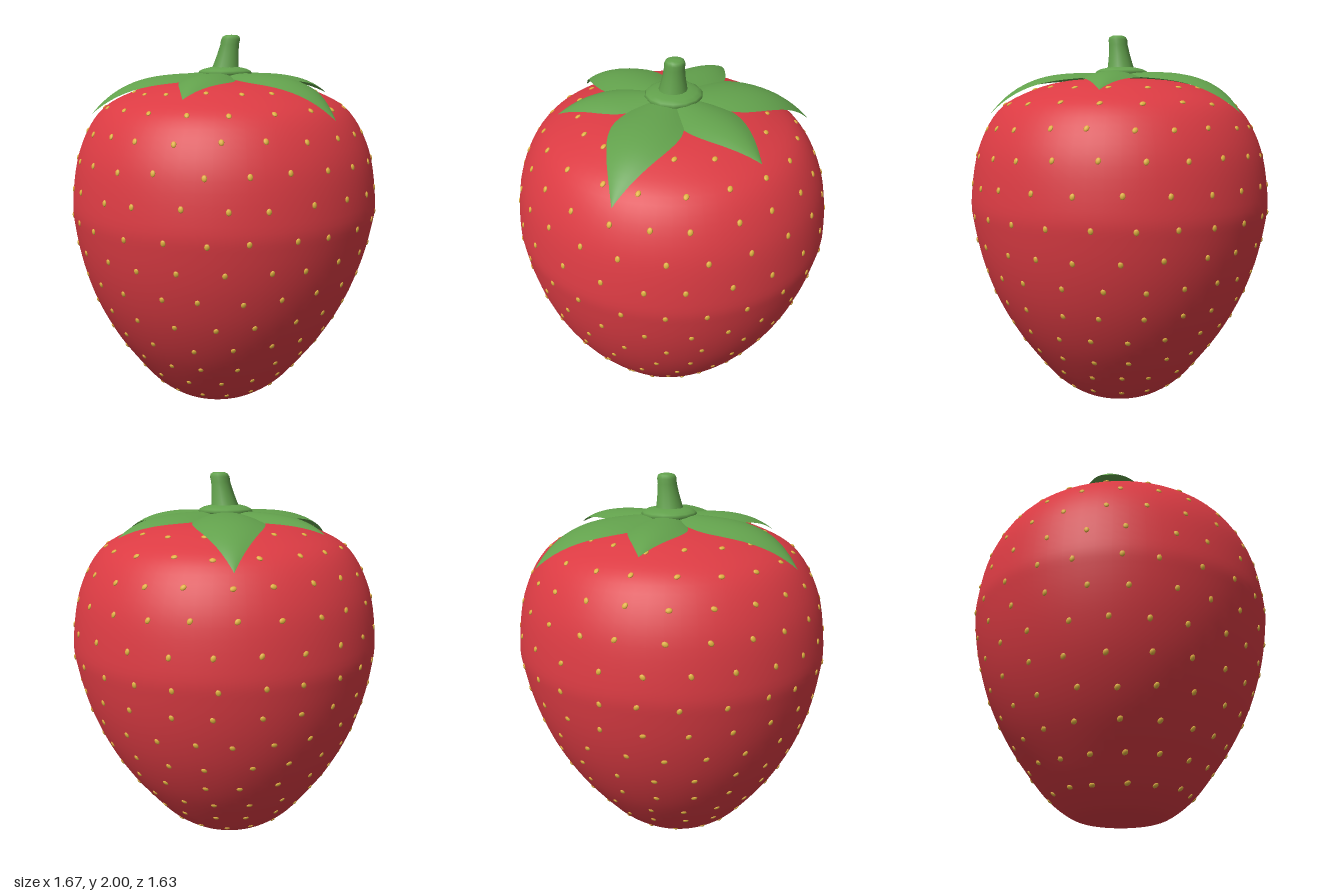
import * as THREE from 'three';

export function createModel() {
  const root = new THREE.Group();
  root.name = 'strawberry';
  const mat = (name, color, side = THREE.FrontSide) => {
    const m = new THREE.MeshStandardMaterial({ color, side });
    m.name = name;
    return m;
  };
  const red = mat('berry red', 0xdb3b43);
  const green = mat('leaf green', 0x62a14c, THREE.DoubleSide);
  const gold = mat('seed gold', 0xe0b040);
  const add = (name, geo, material, parent = root) => {
    const m = new THREE.Mesh(geo, material);
    m.name = name;
    parent.add(m);
    return m;
  };

  // Berry body: lathed profile, slightly flattened in z, with a small lean at the base
  const DEPTH = 0.975;
  const lean = y => -0.042 * Math.max(0, 1 - y / 1.1);
  const profile = new THREE.SplineCurve([
    [0, 0], [0.15, 0.003], [0.25, 0.025], [0.36, 0.1], [0.453, 0.2], [0.6, 0.4],
    [0.707, 0.6], [0.778, 0.8], [0.82, 1.0], [0.829, 1.15], [0.785, 1.4],
    [0.675, 1.6], [0.51, 1.7], [0.3, 1.758], [0, 1.772],
  ].map(p => new THREE.Vector2(...p))).getPoints(70);
  profile.forEach(p => { p.x = Math.max(0, p.x); p.y = Math.max(0, p.y); });
  const body = new THREE.LatheGeometry(profile, 64);
  const bp = body.attributes.position;
  for (let i = 0; i < bp.count; i++) {
    bp.setXYZ(i, bp.getX(i) + lean(bp.getY(i)), bp.getY(i), bp.getZ(i) * DEPTH);
  }
  add('berryBody', body, red);

  // Seeds: staggered rows of flattened beads lying on the skin
  const seeds = new THREE.Group();
  seeds.name = 'seeds';
  root.add(seeds);
  let seed = 7;
  const jitter = () => {
    seed = (seed * 16807) % 2147483647;
    return seed / 2147483647 - 0.5;
  };
  const bead = new THREE.SphereGeometry(1, 8, 6);
  const forward = new THREE.Vector3(0, 0, 1);
  const rows = [0.11, 0.23, 0.35, 0.485, 0.625, 0.77, 0.915, 1.065, 1.22, 1.37, 1.51, 1.63, 1.71];
  rows.forEach((rowY, k) => {
    const rowR = profile.find(p => p.y >= rowY).x;
    const count = Math.round(8 + 16 * rowR / 0.8);
    for (let i = 0; i < count; i++) {
      const a = (i + (k % 2 ? 0.5 : 0) + jitter() * 0.2) / count * Math.PI * 2;
      const y = rowY + jitter() * 0.015;
      const n = profile.findIndex(p => p.y >= y);
      const lo = profile[n - 1], hi = profile[n];
      const r = lo.x + (hi.x - lo.x) * (y - lo.y) / (hi.y - lo.y);
      const normal = new THREE.Vector3(
        Math.sin(a) * (hi.y - lo.y), lo.x - hi.x, Math.cos(a) * (hi.y - lo.y) / DEPTH).normalize();
      const s = add('seed', bead, gold, seeds);
      s.position.set(r * Math.sin(a) + lean(y), y, r * Math.cos(a) * DEPTH);
      s.quaternion.setFromUnitVectors(forward, normal);
      s.scale.set(0.013, 0.016, 0.007);
    }
  });

  // Leaves: pointed arched blades that droop towards the tip
  const leafShape = new THREE.SplineCurve([
    [0.08, 0.4], [0.25, 0.8], [0.42, 1], [0.58, 0.9], [0.74, 0.62], [0.88, 0.3], [1, 0],
  ].map(p => new THREE.Vector2(...p))).getPoints(18);
  function leafGeometry(length, tipY) {
    const cols = 8, pos = [], index = [];
    leafShape.forEach(({ x: t, y: w }, i) => {
      for (let j = 0; j <= cols; j++) {
        const s = j / cols * 2 - 1;
        const y = 1.803 - (1.803 - tipY) * t ** 4 - 0.035 * s * s * w;
        pos.push(s * Math.max(0, w) * 0.24 * length, y, t * length);
        if (i < leafShape.length - 1 && j < cols) {
          const a = i * (cols + 1) + j, b = a + cols + 1;
          index.push(a, b, a + 1, a + 1, b, b + 1);
        }
      }
    });
    const g = new THREE.BufferGeometry();
    g.setAttribute('position', new THREE.Float32BufferAttribute(pos, 3));
    g.setIndex(index);
    g.computeVertexNormals();
    return g;
  }
  const tips = [
    [-0.12, 1.71, -0.59], [0.46, 1.585, -0.58], [0.61, 1.69, 0.1],
    [0.22, 1.585, 0.67], [-0.44, 1.69, 0.36], [-0.715, 1.605, -0.105],
  ];
  for (const [x, y, z] of tips) {
    add('leaf', leafGeometry(Math.hypot(x, z), y), green).rotation.y = Math.atan2(x, z);
  }

  // Calyx disc under the stem
  const disc = add('calyxDisc', new THREE.SphereGeometry(1, 14, 10), green);
  disc.scale.set(0.145, 0.036, 0.145);
  disc.position.set(0.007, 1.802, -0.01);

  // Stem: flared base, rounded tip, tilted by a shear
  const stem = new THREE.LatheGeometry([
    [0.078, 1.81], [0.068, 1.845], [0.057, 1.9], [0.05, 1.95], [0.051, 1.975],
    [0.045, 1.991], [0.03, 1.998], [0, 2],
  ].map(p => new THREE.Vector2(...p)), 14);
  const sp = stem.attributes.position;
  for (let i = 0; i < sp.count; i++) {
    const t = (sp.getY(i) - 1.81) / 0.19;
    sp.setX(i, sp.getX(i) + 0.003 + 0.03 * t);
    sp.setZ(i, sp.getZ(i) - 0.008 + 0.02 * t);
  }
  add('stem', stem, green);
  return root;
}
